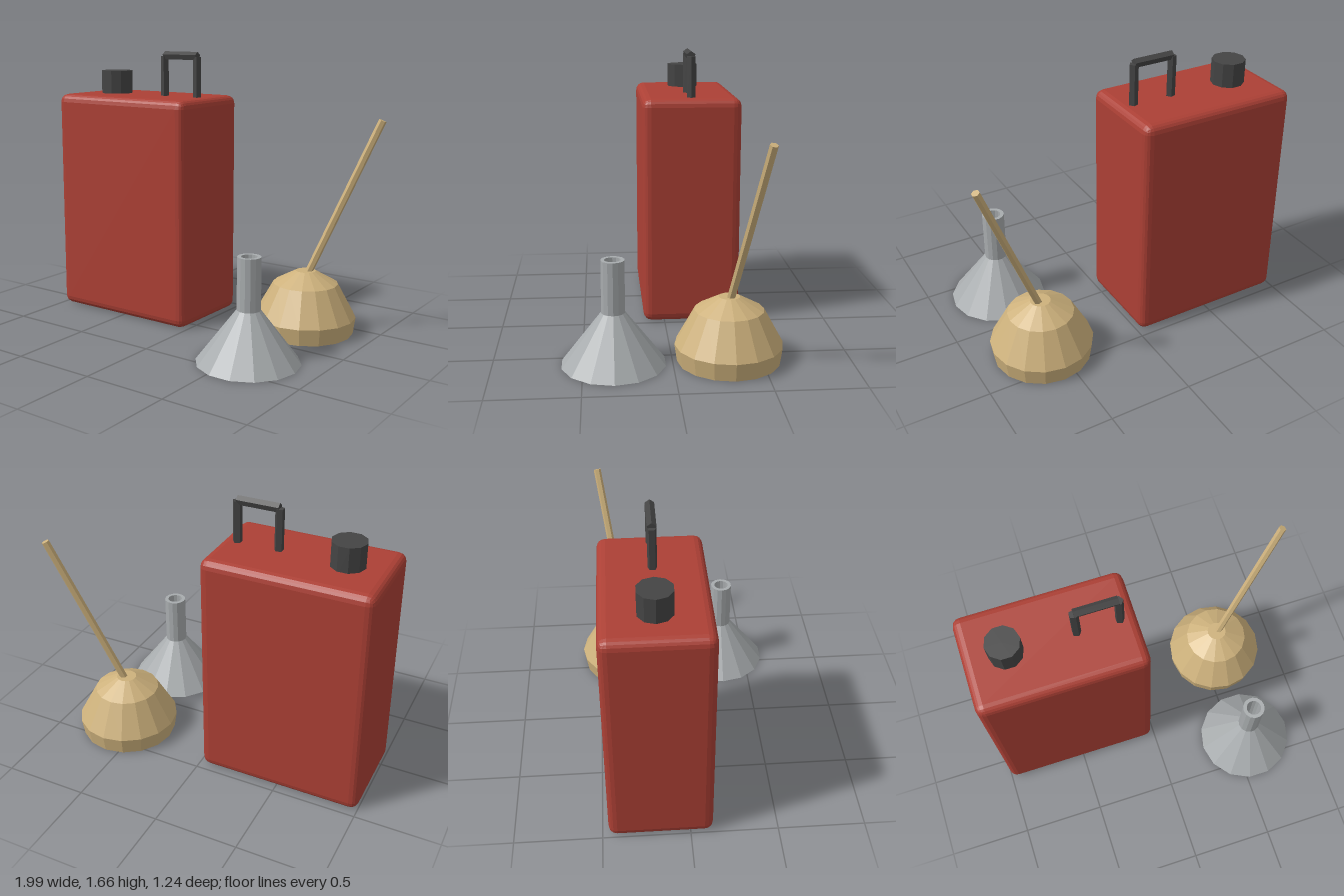
import * as THREE from 'three';
import { RoundedBoxGeometry } from 'three/addons/geometries/RoundedBoxGeometry.js';

const mat = (color) => new THREE.MeshStandardMaterial({ color, flatShading: true });

export function createModel() {
  const model = new THREE.Group();
  const red = mat(0xac4035), dark = mat(0x444444), tan = mat(0xcdb17c), metal = mat(0xa8acae);

  const add = (name, geometry, material, parent = model) => {
    const mesh = new THREE.Mesh(geometry, material);
    mesh.name = name;
    parent.add(mesh);
    return mesh;
  };

  // Low-poly rod between two points
  const rod = (name, a, b, radius, sides, material, parent, start = 0) => {
    const from = new THREE.Vector3(...a), to = new THREE.Vector3(...b);
    const dir = to.clone().sub(from);
    const mesh = add(name, new THREE.CylinderGeometry(radius, radius, dir.length(), sides, 1, false, start), material, parent);
    mesh.position.copy(from).add(to).multiplyScalar(0.5);
    mesh.quaternion.setFromUnitVectors(new THREE.Vector3(0, 1, 0), dir.normalize());
    return mesh;
  };

  // Turned shape, with a corner pointing along +x
  const turned = (name, profile, sides, material, parent) => add(name, new THREE.LatheGeometry(
    profile.map(([r, y]) => new THREE.Vector2(r, y)), sides, Math.PI / 2), material, parent);

  // Fuel can: body, cap and carrying handle
  const can = new THREE.Group();
  can.name = 'fuelCan';
  model.add(can);
  add('canBody', new RoundedBoxGeometry(0.985, 1.39, 0.595, 2, 0.05), red, can).position.set(-0.507, 0.695, -0.168);
  rod('canCap', [-0.755, 1.36, -0.17], [-0.755, 1.535, -0.17], 0.099, 10, dark, can, Math.PI / 2);

  const handle = new THREE.Group();
  handle.name = 'canHandle';
  can.add(handle);
  const handleX = [-0.358, -0.11], handleZ = -0.165;
  for (const x of handleX) {
    rod('handlePost', [x, 1.36, handleZ], [x, 1.635, handleZ], 0.027, 5, dark, handle, Math.PI / 2);
  }
  rod('handleBar', [handleX[0], 1.638, handleZ], [handleX[1], 1.638, handleZ], 0.027, 5, dark, handle, -Math.PI / 2);

  // Funnel standing mouth down: one closed wall, open right through
  turned('funnel', [
    [0.295, 0], [0.067, 0.3], [0.067, 0.6],
    [0.045, 0.6], [0.045, 0.29], [0.268, 0], [0.295, 0],
  ], 14, metal).position.set(0.583, 0, 0.328);

  // Domed head with a slanted stick
  const plunger = new THREE.Group();
  plunger.name = 'plunger';
  model.add(plunger);
  turned('plungerHead', [
    [0, 0], [0.29, 0], [0.305, 0.1], [0.195, 0.3], [0.06, 0.375], [0, 0.375],
  ], 16, tan, plunger).position.set(0.583, 0, -0.315);
  rod('plungerStick', [0.58, 0.32, -0.314], [0.975, 1.29, -0.465], 0.023, 6, tan, plunger);

  return model;
}
